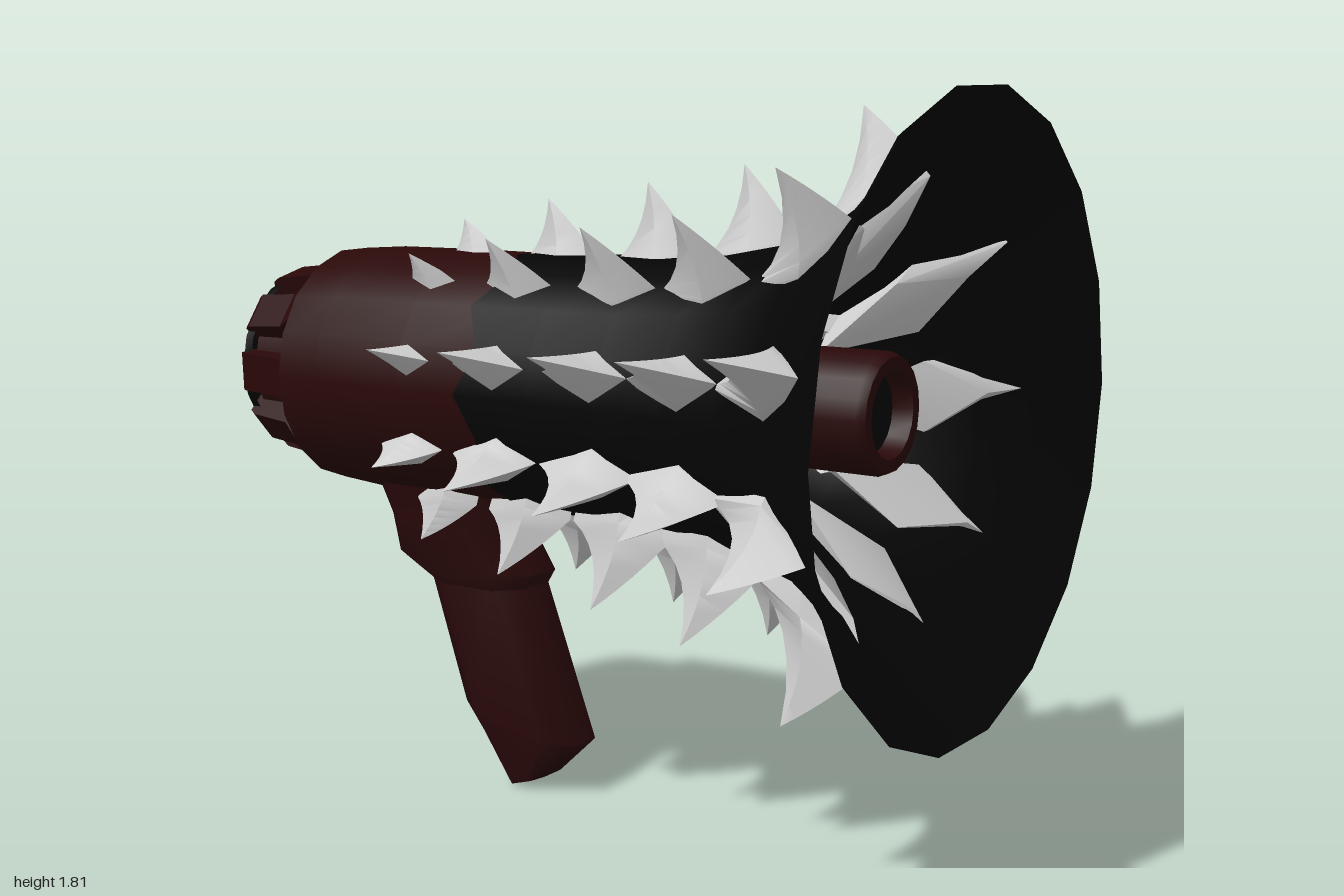
import * as THREE from 'three';
import { toCreasedNormals } from 'three/addons/utils/BufferGeometryUtils.js';

const AXIS_Y = 1.06;
const SIDES = 18;
const rad = THREE.MathUtils.degToRad;
const material = (color) => new THREE.MeshStandardMaterial({ color, side: THREE.DoubleSide });
const red = material(0x2a0808);
const black = material(0x040404);
const grey = material(0xcccccc);

const KITE = [[1, 0], [0.2, 1], [-1, 0], [0.2, -1]];
const OCTAGON = [[1, -0.5], [1, 0.5], [0.6, 1], [-0.6, 1], [-1, 0.5], [-1, -0.5], [-0.6, -1], [0.6, -1]];

function addMesh(parent, name, geometry, mat) {
  const mesh = new THREE.Mesh(geometry, mat);
  mesh.name = name;
  parent.add(mesh);
  return mesh;
}

// Joins cross-sections { back: [x, y], front: [x, y], w } of a given outline, closed at both ends.
function loft(sections, outline, crease) {
  const n = outline.length;
  const positions = [];
  const index = [];
  for (const { back, front, w } of sections) {
    for (const [u, v] of outline) {
      const t = (u + 1) / 2;
      positions.push(
        THREE.MathUtils.lerp(back[0], front[0], t),
        THREE.MathUtils.lerp(back[1], front[1], t),
        -w * v
      );
    }
  }
  for (let s = 0; s < sections.length - 1; s++) {
    for (let k = 0; k < n; k++) {
      const a = s * n + k, b = s * n + (k + 1) % n;
      index.push(a, b, b + n, a, b + n, a + n);
    }
  }
  const last = (sections.length - 1) * n;
  for (let k = 1; k < n - 1; k++) {
    index.push(0, k + 1, k, last, last + k, last + k + 1);
  }
  const geometry = new THREE.BufferGeometry();
  geometry.setAttribute('position', new THREE.Float32BufferAttribute(positions, 3));
  geometry.setIndex(index);
  return toCreasedNormals(geometry, crease);
}

// Turned part along the x axis from [x, radius] points.
function turned(profile) {
  const points = profile.map(([x, r]) => new THREE.Vector2(r, x));
  return new THREE.LatheGeometry(points, SIDES).rotateZ(-Math.PI / 2);
}

// Curved thorn: the back edge sweeps up to the tip, the root is buried in the shell.
function thornGeometry({ rootBack, rootFront, back, front, tip, w }) {
  const v = (p) => new THREE.Vector2(p[0], p[1]);
  const backEdge = new THREE.QuadraticBezierCurve(v(back), v([tip[0] - 0.01, back[1] + 0.3 * (tip[1] - back[1])]), v(tip));
  const frontEdge = new THREE.QuadraticBezierCurve(
    v(front), v([(front[0] + tip[0]) / 2 + 0.01, (front[1] + tip[1]) / 2 + 0.01]), v(tip));
  const sections = [{ back: rootBack, front: rootFront, w: w * 1.1 }];
  const steps = 6;
  for (let i = 0; i <= steps; i++) {
    const t = i / steps;
    sections.push({
      back: backEdge.getPoint(t).toArray(),
      front: frontEdge.getPoint(t).toArray(),
      w: w * (1 - t),
    });
  }
  return loft(sections, KITE, 0.9);
}

export function createModel() {
  const model = new THREE.Group();
  model.name = 'spikedMegaphone';
  const barrel = new THREE.Group();
  barrel.name = 'barrel';
  barrel.position.y = AXIS_Y;
  model.add(barrel);

  // Rear body
  addMesh(barrel, 'body', toCreasedNormals(turned([
    [-0.86, 0.2], [-0.85, 0.25], [-0.8, 0.308], [-0.67, 0.318], [-0.4, 0.322], [-0.12, 0.322],
  ]), 0.6), red);

  // Rear cap: recessed core, end plate and nine ribs
  addMesh(barrel, 'capCore', turned([[-0.98, 0.2], [-0.84, 0.205]]), red);
  addMesh(barrel, 'capPlate', toCreasedNormals(turned([[-1, 0], [-1, 0.225], [-0.975, 0.225]]), 0.6), black);
  const ribShape = new THREE.Shape([
    [-0.998, 0.17], [-0.998, 0.23], [-0.98, 0.242], [-0.86, 0.257], [-0.8, 0.3], [-0.8, 0.17],
  ].map(([x, y]) => new THREE.Vector2(x, y)));
  const ribGeometry = new THREE.ExtrudeGeometry(ribShape, { depth: 0.1, bevelEnabled: false });
  ribGeometry.translate(0, 0, -0.05);
  for (let k = 0; k < 9; k++) {
    addMesh(barrel, 'capRib', ribGeometry, red).rotation.x = rad(93 - 40 * k);
  }

  // Flared horn with a jagged rear edge
  const hornProfile = [
    [-0.2, 0.327], [0, 0.329], [0.2, 0.335], [0.38, 0.352], [0.54, 0.385], [0.68, 0.44],
    [0.8, 0.52], [0.9, 0.62], [0.985, 0.745], [1, 0.757],
  ];
  const horn = turned(hornProfile);
  const hornPos = horn.attributes.position;
  for (let i = 0; i <= SIDES; i++) {
    hornPos.setX(i * hornProfile.length, i % 2 ? -0.165 : -0.22);
  }
  addMesh(barrel, 'horn', horn, black);

  // Inner funnel, narrower than the horn
  addMesh(barrel, 'funnel', turned([
    [1, 0.757], [0.985, 0.735], [0.9, 0.6], [0.8, 0.485], [0.68, 0.385],
    [0.54, 0.3], [0.38, 0.235], [0.2, 0.195], [-0.1, 0.18], [-0.1, 0],
  ]), black);

  // Sound tube inside the horn, with a toothed collar
  addMesh(barrel, 'soundTube', toCreasedNormals(turned([
    [-0.1, 0.14], [0.78, 0.145], [0.8, 0.135], [0.8, 0.105], [0.74, 0.095],
  ]), 0.6), red);
  addMesh(barrel, 'tubePlug', turned([[0.75, 0.1], [0.75, 0]]), black);
  const toothGeometry = new THREE.BoxGeometry(0.08, 0.05, 0.035).translate(0.45, 0.155, 0);
  for (let k = 0; k < 18; k++) {
    addMesh(barrel, 'collarTooth', toothGeometry, red).rotation.x = rad(20 * k);
  }

  // Five rings of thorns
  const rings = [
    { rootBack: [-0.47, 0.22], rootFront: [-0.3, 0.22], back: [-0.48, 0.32], front: [-0.29, 0.32], tip: [-0.43, 0.43], w: 0.045 },
    { rootBack: [-0.25, 0.2], rootFront: [-0.02, 0.2], back: [-0.25, 0.325], front: [0, 0.325], tip: [-0.165, 0.49], w: 0.06 },
    { rootBack: [0, 0.18], rootFront: [0.27, 0.2], back: [0.01, 0.325], front: [0.3, 0.34], tip: [0.13, 0.54], w: 0.065 },
    { rootBack: [0.25, 0.18], rootFront: [0.53, 0.26], back: [0.25, 0.335], front: [0.57, 0.385], tip: [0.4, 0.59], w: 0.068 },
    { rootBack: [0.52, 0.19], rootFront: [0.82, 0.46], back: [0.51, 0.375], front: [0.88, 0.575], tip: [0.71, 0.73], w: 0.08 },
  ];
  const angles = [90, 56, 18, -22, -61, -102, -142, -183, -224];
  rings.forEach((ring, r) => {
    const geometry = thornGeometry(ring);
    const group = new THREE.Group();
    group.name = `thornRing${r + 1}`;
    group.position.y = -0.03;
    barrel.add(group);
    for (const angle of angles) {
      const thorn = addMesh(group, 'thorn', geometry, grey);
      thorn.rotation.x = rad(90 - angle);
      thorn.position.z = angle === 90 ? 0 : -0.012;
    }
  });

  // Slanted grip and its mount under the body
  addMesh(model, 'handle', loft([
    { back: [-0.26, 0], front: [-0.16, 0.03], w: 0.07 },
    { back: [-0.4, 0.2], front: [-0.06, 0.13], w: 0.1 },
    { back: [-0.52, 0.56], front: [-0.22, 0.56], w: 0.1 },
  ], OCTAGON, 1), red);
  addMesh(model, 'handleMount', loft([
    { back: [-0.5, 0.52], front: [-0.21, 0.52], w: 0.1 },
    { back: [-0.61, 0.58], front: [-0.19, 0.56], w: 0.115 },
    { back: [-0.63, 0.68], front: [-0.26, 0.66], w: 0.125 },
    { back: [-0.68, 0.8], front: [-0.24, 0.8], w: 0.15 },
  ], OCTAGON, 1), red);

  return model;
}
